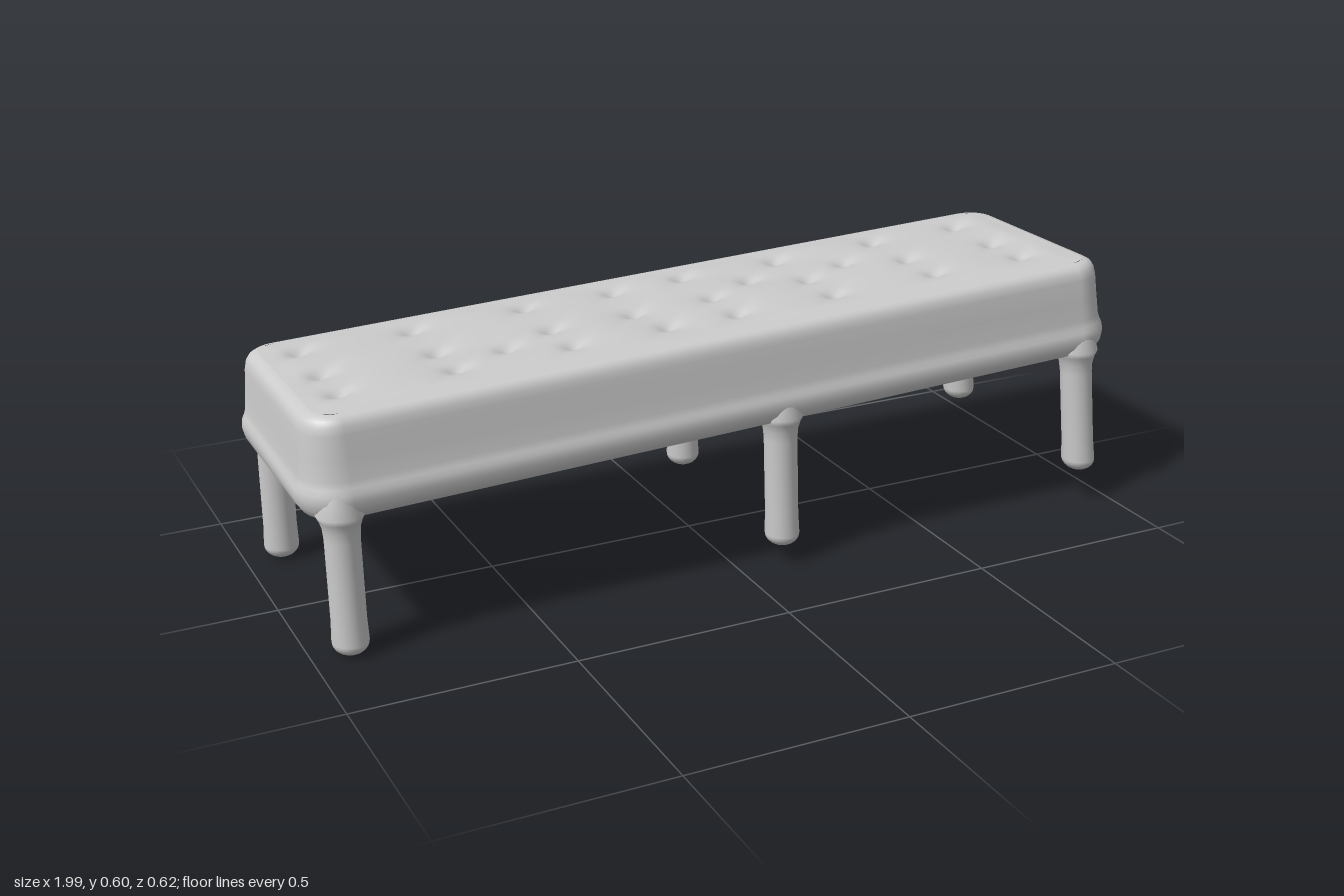
import * as THREE from 'three';
import { mergeVertices } from 'three/addons/utils/BufferGeometryUtils.js';

const HX = 0.997, HZ = 0.298, R = 0.1;
const material = new THREE.MeshStandardMaterial({ color: 0xcccccc });

// The whole bench slopes up towards +x and its top leans slightly in z
function tilt(geometry) {
  const p = geometry.attributes.position;
  for (let i = 0; i < p.count; i++) {
    const x = p.getX(i), y = p.getY(i), z = p.getZ(i);
    p.setXYZ(i, x - 0.04 * (y - 0.4), y + 0.0375 * x + 0.075 * z * (y - 0.36), z);
  }
  geometry.computeVertexNormals();
  return geometry;
}

// Padded side wall: rounded rectangles stacked along [height, inset]
function sideWall() {
  const profile = [
    [0.362, 0.075], [0.352, 0.055], [0.349, 0.035], [0.355, 0.015], [0.372, 0.004],
    [0.392, 0], [0.408, 0.002], [0.42, 0.008], [0.435, 0.012], [0.48, 0.017],
    [0.53, 0.022], [0.547, 0.026], [0.558, 0.033], [0.564, 0.043], [0.566, 0.055],
  ];
  const positions = [], index = [], steps = 8, ring = 4 * (steps + 1);
  profile.forEach(([y, inset], i) => {
    const r = R - inset;
    for (let j = 0; j < ring; j++) {
      const corner = Math.floor(j / (steps + 1));
      const a = (corner + (j % (steps + 1)) / steps) * Math.PI / 2;
      const sx = corner === 0 || corner === 3 ? 1 : -1, sz = corner < 2 ? -1 : 1;
      positions.push(sx * (HX - R) + r * Math.cos(a), y, sz * (HZ - R) - r * Math.sin(a));
      if (i < profile.length - 1) {
        const k = i * ring + j, n = i * ring + (j + 1) % ring;
        index.push(k, n, k + ring, n, n + ring, k + ring);
      }
    }
  });
  const g = new THREE.BufferGeometry();
  g.setAttribute('position', new THREE.Float32BufferAttribute(positions, 3));
  g.setIndex(index);
  return tilt(g);
}

// Rounded rectangular sheet, displaced by relief(x, z) that fades at the rim
function sheet(y, inset, up, relief) {
  const hx = HX - inset, hz = HZ - inset, r = R - inset;
  let g = new THREE.PlaneGeometry(2, 2, 180, 56);
  g.rotateX(up ? -Math.PI / 2 : Math.PI / 2);
  g.deleteAttribute('uv');
  const p = g.attributes.position;
  for (let i = 0; i < p.count; i++) {
    const z = p.getZ(i) * hz;
    const over = Math.max(0, Math.abs(z) - (hz - r));
    const x = p.getX(i) * (hx - r + Math.sqrt(Math.max(0, r * r - over * over)));
    const fade = THREE.MathUtils.smoothstep(Math.min(hx - Math.abs(x), hz - Math.abs(z)), 0, 0.06);
    p.setXYZ(i, x, y + relief(x, z) * fade, z);
  }
  return tilt(g);
}

// Button positions of the tufted top
const tufts = [];
for (const x of [-0.86, -0.6, -0.33, 0.07, 0.32, 0.59, 0.83]) {
  for (const z of [-0.165, 0, 0.125]) tufts.push([x, z]);
}
for (const [x, z] of [[-0.11, -0.16], [-0.13, 0], [-0.1, 0.12], [0.2, -0.07], [0.45, -0.06], [-0.46, 0.06]]) tufts.push([x, z]);

function tuftedRelief(x, z) {
  let h = 0.004 + 0.0025 * Math.sin(9 * x + 12 * z) * Math.cos(17 * z - 5 * x);
  for (const [tx, tz] of tufts) {
    const dx = x - tx, dz = z - tz, d2 = dx * dx + dz * dz;
    h -= 0.011 * Math.exp(-d2 / 0.0006) + 0.005 * Math.exp(-d2 / 0.004);
    // soft diagonal crease leaving each button
    const along = (dx - dz) * 0.707, across = (dx + dz) * 0.707;
    h -= 0.003 * Math.exp(-across * across / 0.0003 - along * along / 0.006);
  }
  return h;
}

const wrinkles = (x, z) =>
  0.004 * Math.sin(31 * x + 9 * Math.sin(11 * z)) * Math.sin(43 * z + 4 * Math.sin(13 * x))
  + 0.002 * Math.sin(67 * x + 29 * z);

// Round leg with a domed foot and a flared head, slanted from foot to top
function leg(foot, top, headY) {
  const h = top[1] - foot[1], head = headY - foot[1], r = 0.038;
  const profile = [[0, 0]];
  for (let i = 1; i <= 6; i++) {
    const a = i / 6 * Math.PI / 2;
    profile.push([(r + 0.002) * Math.sin(a), 0.03 * (1 - Math.cos(a))]);
  }
  profile.push([r, 0.08], [r, head - 0.05], [r + 0.002, head - 0.025], [r + 0.008, head - 0.006], [r + 0.015, head + 0.008], [r, h]);
  let g = new THREE.LatheGeometry(profile.map(([a, b]) => new THREE.Vector2(a, b)), 24);
  g.deleteAttribute('uv');
  g.deleteAttribute('normal');
  g = mergeVertices(g);
  const p = g.attributes.position;
  for (let i = 0; i < p.count; i++) {
    const t = p.getY(i) / h;
    p.setXYZ(i,
      p.getX(i) + foot[0] + (top[0] - foot[0]) * t,
      p.getY(i) + foot[1],
      p.getZ(i) + foot[2] + (top[2] - foot[2]) * t);
  }
  g.computeVertexNormals();
  return g;
}

export function createModel() {
  const bench = new THREE.Group();
  bench.name = 'bench';
  const add = (name, geometry, parent = bench) => {
    const mesh = new THREE.Mesh(geometry, material);
    mesh.name = name;
    parent.add(mesh);
  };

  const seat = new THREE.Group();
  seat.name = 'seat';
  bench.add(seat);
  add('seatSide', sideWall(), seat);
  add('tuftedTop', sheet(0.566, 0.055, true, tuftedRelief), seat);
  add('underside', sheet(0.362, 0.075, false, wrinkles), seat);

  // Three pairs of legs: foot x, top x, foot height, foot z front and back
  const pairs = [
    ['left', 0.927, 0.9, 0.082, 0.27, -0.264],
    ['middle', 0.113, 0.103, 0.043, 0.258, -0.265],
    ['right', -0.914, -0.918, 0.002, 0.258, -0.27],
  ];
  for (const [name, footX, topX, footY, front, back] of pairs) {
    const underside = 0.352 + 0.0375 * topX;
    add(name + 'FrontLeg', leg([footX, footY, front], [topX, underside + 0.06, 0.253], underside));
    add(name + 'BackLeg', leg([footX, footY, back], [topX, underside + 0.06, -0.253], underside));
  }
  return bench;
}
